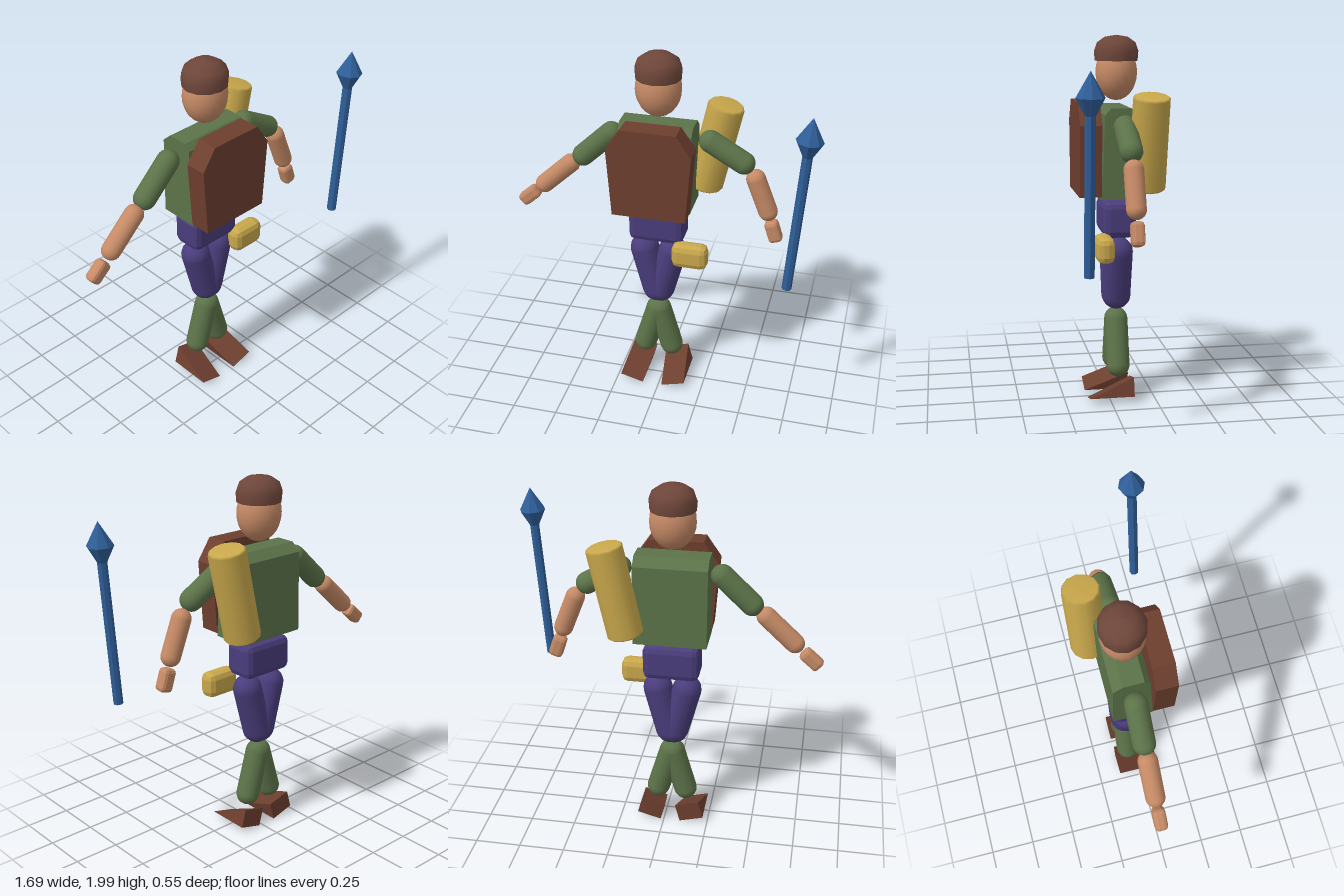
import * as THREE from 'three';
import { RoundedBoxGeometry } from 'three/addons/geometries/RoundedBoxGeometry.js';

const COLORS = {
  skin: 0xc68a66, cap: 0x6e463a, green: 0x5c7349, pack: 0x6e3f2f,
  purple: 0x4a3d7c, gold: 0xc9a84c, blue: 0x2f5f9a,
};
const BODY_X = -0.037, BODY_Z = -0.05;

export function createModel() {
  const model = new THREE.Group();
  model.name = 'adventurer';

  const add = (name, geometry, color, x, y, z, flat = false) => {
    const mesh = new THREE.Mesh(geometry,
      new THREE.MeshStandardMaterial({ color: COLORS[color], flatShading: flat }));
    mesh.name = name;
    mesh.position.set(x, y, z);
    model.add(mesh);
    return mesh;
  };

  // Capsule between two joints in the body's plane
  const limb = (name, color, radius, [x1, y1], [x2, y2]) => {
    const dx = x2 - x1, dy = y2 - y1;
    const geometry = new THREE.CapsuleGeometry(radius, Math.hypot(dx, dy), 6, 16);
    const mesh = add(name, geometry, color, (x1 + x2) / 2, (y1 + y2) / 2, BODY_Z);
    mesh.rotation.z = Math.atan2(-dx, dy);
    return mesh;
  };

  const bevelBox = (w, h, d, bevel) => new RoundedBoxGeometry(w, h, d, 1, bevel);

  // Polygon extruded through a depth, centred on that depth
  const slab = (points, depth) => {
    const shape = new THREE.Shape(points.map(([a, b]) => new THREE.Vector2(a, b)));
    return new THREE.ExtrudeGeometry(shape, { depth, bevelEnabled: false })
      .translate(0, 0, -depth / 2);
  };
  // Same, with a side profile of [z, y] points and the width along x
  const sideSlab = (points, width) =>
    slab(points.map(([z, y]) => [-z, y]), width).rotateY(Math.PI / 2);

  // Head and cap
  const head = add('head', new THREE.SphereGeometry(1, 20, 14), 'skin', BODY_X, 1.805, BODY_Z);
  head.scale.set(0.122, 0.15, 0.112);
  const capProfile = [[0, -0.06], [0.121, -0.06], [0.121, -0.06], [0.125, -0.01],
    [0.109, 0.035], [0.065, 0.065], [0, 0.075]].map(([r, y]) => new THREE.Vector2(r, y));
  const cap = add('cap', new THREE.LatheGeometry(capProfile, 12), 'cap', BODY_X, 1.925, BODY_Z);
  cap.scale.z = 0.96;

  // Torso, hips and chest pack
  add('torso', sideSlab([[0.06, 1.145], [0.04, 1.59], [0.01, 1.625],
    [-0.1, 1.625], [-0.15, 1.58], [-0.155, 1.145]], 0.392), 'green', BODY_X, 0, 0, true);
  add('hips', bevelBox(0.306, 0.195, 0.178, 0.035), 'purple', BODY_X, 1.022, BODY_Z, true);
  add('chestPack', slab([[-0.198, 1.16], [0.198, 1.16], [0.225, 1.54],
    [0.146, 1.655], [-0.146, 1.655], [-0.225, 1.54]], 0.117), 'pack', BODY_X, 0, 0.118, true);

  // Legs and wedge shoes, mirrored about the body's middle
  for (const [side, s] of [['left', 1], ['right', -1]]) {
    limb(`${side}Thigh`, 'purple', 0.08, [BODY_X + s * 0.08, 0.84], [BODY_X + s * 0.012, 0.582]);
    limb(`${side}Shin`, 'green', 0.065, [BODY_X + s * 0.006, 0.44], [BODY_X + s * 0.077, 0.194]);
    const shoe = add(`${side}Shoe`,
      sideSlab([[-0.122, -0.053], [0.122, -0.053], [-0.122, 0.053]], 0.137),
      'pack', BODY_X + s * 0.108, 0.076, -0.003, true);
    shoe.rotation.z = s * 0.265;
  }

  // Arms, each in its own pose
  const arms = {
    right: { upper: [[-0.295, 1.525], [-0.455, 1.373]], fore: [[-0.53, 1.313], [-0.686, 1.168]],
      hand: [-0.778, 1.083], turn: -0.85 },
    left: { upper: [[0.24, 1.537], [0.42, 1.433]], fore: [[0.487, 1.35], [0.56, 1.164]],
      hand: [0.596, 1.048], turn: 0.32 },
  };
  for (const [side, arm] of Object.entries(arms)) {
    limb(`${side}UpperArm`, 'green', 0.06, ...arm.upper);
    limb(`${side}Forearm`, 'skin', 0.052, ...arm.fore);
    const hand = add(`${side}Hand`, bevelBox(0.075, 0.125, 0.068, 0.02), 'skin',
      ...arm.hand, BODY_Z, true);
    hand.rotation.z = arm.turn;
  }

  // Bedroll on the back and pouch at the hip
  const rollProfile = [[0, -0.249], [0.088, -0.249], [0.098, -0.238],
    [0.098, 0.238], [0.088, 0.249], [0, 0.249]].map(([r, y]) => new THREE.Vector2(r, y));
  const roll = add('bedroll', new THREE.LatheGeometry(rollProfile, 12), 'gold', 0.243, 1.452, -0.178);
  roll.rotation.z = -0.214;
  add('pouch', bevelBox(0.198, 0.14, 0.096, 0.035), 'gold', 0.162, 0.886, 0.047, true);

  // Spear: shaft and pointed head in one profile
  const spearProfile = [[0, 0], [0.026, 0], [0.026, 0.775], [0.07, 0.86], [0, 0.983]]
    .map(([r, y]) => new THREE.Vector2(r, y));
  const spear = add('spear', new THREE.LatheGeometry(spearProfile, 8), 'blue', 0.714, 0.869, 0.207, true);
  spear.rotation.z = -0.07;

  return model;
}
